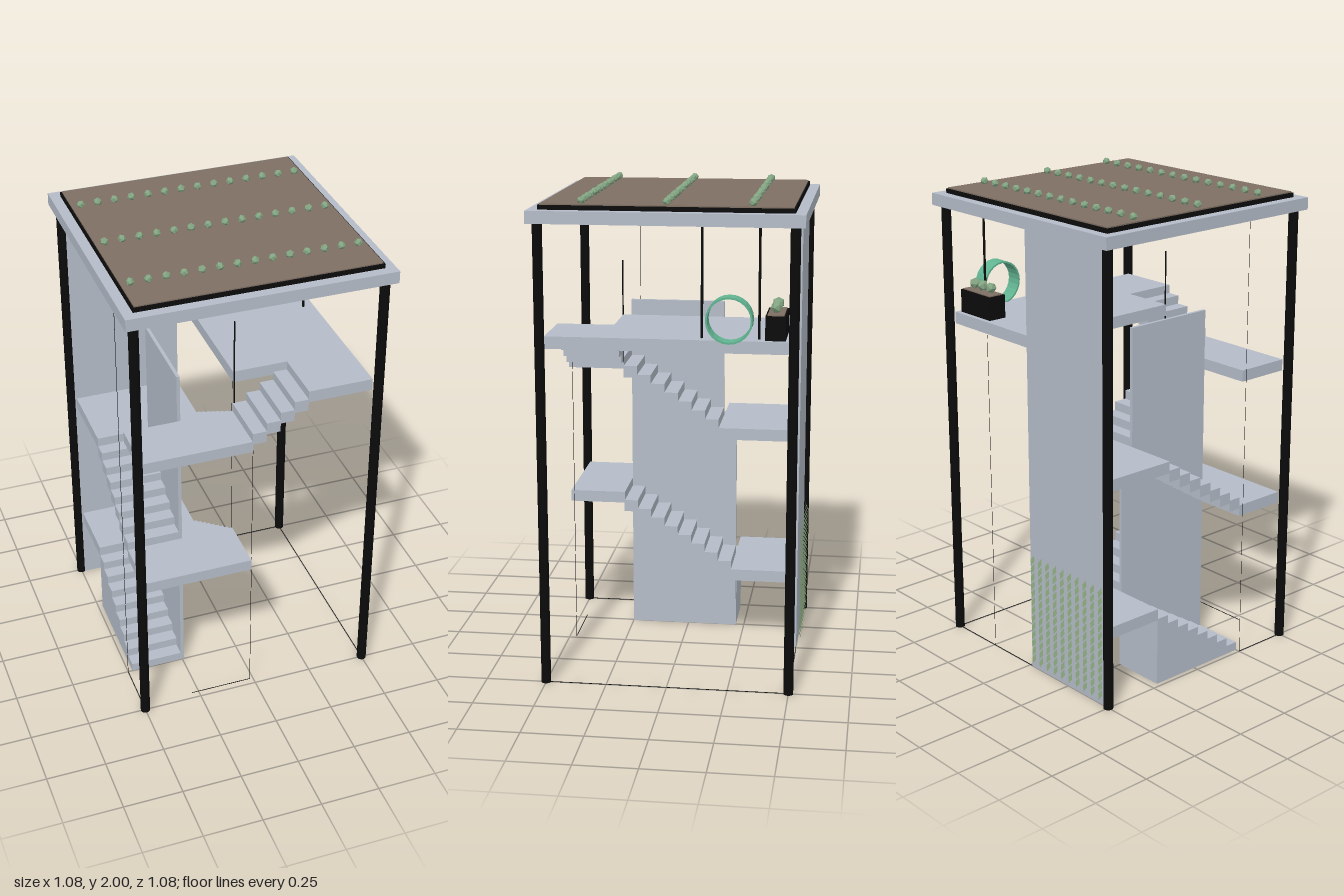
import * as THREE from 'three';

const mat = (name, color, extra = {}) => new THREE.MeshStandardMaterial({ name, color, ...extra });

export function createModel() {
  const root = new THREE.Group();
  root.name = 'stairTower';
  const concrete = mat('concrete', 0xb4bcc8);
  const black = mat('blackSteel', 0x0b0b0c);
  const soil = mat('soil', 0x7e6f62);
  const plantGreen = mat('plantGreen', 0x83a583);
  const mint = mat('mintGreen', 0x62b592);
  const leafGreen = mat('leafGreen', 0x84a078, { side: THREE.DoubleSide });

  const add = (name, geo, material, parent = root) => {
    const m = new THREE.Mesh(geo, material);
    m.name = name;
    parent.add(m);
    return m;
  };
  // Box given by its extents
  const box = (name, material, x0, x1, y0, y1, z0, z1, parent = root) => {
    const m = add(name, new THREE.BoxGeometry(x1 - x0, y1 - y0, z1 - z0), material, parent);
    m.position.set((x0 + x1) / 2, (y0 + y1) / 2, (z0 + z1) / 2);
    return m;
  };
  const rod = (name, x, y0, y1, z, r, sides = 16) => {
    const m = add(name, new THREE.CylinderGeometry(r, r, y1 - y0, sides), black);
    m.position.set(x, (y0 + y1) / 2, z);
  };
  const plant = (name, x, y, z, r, turn) => {
    const m = add(name, new THREE.IcosahedronGeometry(r, 0), plantGreen);
    m.position.set(x, y, z);
    m.rotation.y = turn;
  };

  // Corner columns
  for (const x of [-0.5, 0.5]) for (const z of [-0.5, 0.5]) rod('column', x, 0, 1.9, z, 0.02);

  // Roof slab with planting bed
  box('roofSlab', concrete, -0.54, 0.54, 1.9, 1.95, -0.54, 0.54);
  box('roofBedFrame', black, -0.498, 0.498, 1.95, 1.968, -0.498, 0.498);
  box('roofSoil', soil, -0.492, 0.492, 1.968, 1.973, -0.492, 0.492);
  [-0.333, 0, 0.333].forEach((z, j) => {
    for (let i = 0; i < 14; i++) plant('roofPlant', -0.457 + i * 0.0703, 1.984, z, 0.017, i * 1.3 + j);
  });

  // Back wall and central stair wall
  box('backWall', concrete, -0.495, -0.013, 0, 1.9, -0.5, -0.485);
  box('stairWallLower', concrete, -0.257, -0.243, 0, 0.92, -0.212, 0.25);
  box('stairWallUpper', concrete, -0.257, -0.243, 0.92, 1.475, -0.155, 0.25);

  // Landings
  for (const top of [0.672, 1.265]) box('frontLanding', concrete, -0.48, -0.02, top - 0.048, top, 0.25, 0.485);
  box('backLandingLower', concrete, -0.48, -0.02, 0.29, 0.34, -0.485, -0.212);
  box('backLandingUpper', concrete, -0.48, -0.02, 0.92, 0.97, -0.485, -0.155);

  // Stair flights: treads stepping up along z or x
  const rise = 0.037, run = 0.058;
  const flightZ = (name, x0, x1, yStart, zStart, dir, count, solid = false) => {
    const g = new THREE.Group();
    g.name = name;
    root.add(g);
    for (let i = 0; i < count; i++) {
      const a = zStart + dir * run * i, b = a + dir * run;
      const top = yStart + rise * (i + 1);
      box('step', concrete, x0, x1, solid ? 0 : top - 0.05, top, Math.min(a, b), Math.max(a, b), g);
    }
  };
  flightZ('groundFlight', -0.48, -0.257, 0, 0.25, -1, 8, true);
  flightZ('secondFlight', -0.243, -0.02, 0.34, -0.212, 1, 8);
  flightZ('thirdFlight', -0.48, -0.257, 0.672, 0.25, -1, 7);
  flightZ('fourthFlight', -0.243, -0.02, 0.97, -0.155, 1, 7);
  const topFlight = new THREE.Group();
  topFlight.name = 'topFlight';
  root.add(topFlight);
  for (let i = 0; i < 4; i++) {
    const x = -0.022 + i * run, top = 1.265 + rise * (i + 1);
    box('step', concrete, x, x + run, top - 0.05, top, 0.25, 0.485, topFlight);
  }

  // L-shaped upper platform
  const outline = [[-0.02, -0.485], [0.48, -0.485], [0.48, 0.485], [0.21, 0.485], [0.21, 0.25], [-0.02, 0.25]];
  const shape = new THREE.Shape(outline.map(([x, z]) => new THREE.Vector2(x, -z)));
  const slab = new THREE.ExtrudeGeometry(shape, { depth: 0.05, bevelEnabled: false }).rotateX(-Math.PI / 2);
  add('upperPlatform', slab, concrete).position.y = 1.4;

  // Planter box with three plants
  box('planterBox', black, 0.27, 0.463, 1.45, 1.547, -0.465, -0.385);
  box('planterSoil', soil, 0.277, 0.456, 1.547, 1.551, -0.458, -0.392);
  [0.31, 0.364, 0.416].forEach((x, i) => plant('planterPlant', x, 1.575, -0.425, 0.024, i * 1.1));

  // Hanging rods beside a round hoop
  for (const z of [-0.135, -0.36]) rod('hangingRod', 0.435, 1.45, 1.9, z, 0.005, 8);
  const section = [[0.085, -0.033], [0.0925, -0.033], [0.0925, 0.033], [0.085, 0.033], [0.085, -0.033]];
  const hoopGeo = new THREE.LatheGeometry(section.map(([r, h]) => new THREE.Vector2(r, h)), 24).toNonIndexed();
  hoopGeo.computeVertexNormals();
  const hoop = add('hoop', hoopGeo, mint);
  hoop.rotation.z = Math.PI / 2;
  hoop.position.set(0.493, 1.537, -0.249);

  // Slender supports and glazing edges
  rod('handrailPost', -0.015, 1.25, 1.68, 0.25, 0.003, 6);
  const wire = 0.001;
  for (const [x, z, top] of [[-0.015, 0.47, 1.25], [0.25, -0.495, 1.4], [-0.5, 0.25, 1.9]]) rod('glazingPost', x, 0, top, z, wire, 4);
  const sill = (x0, x1, z0, z1) => box('glazingSill', black, x0 - wire, x1 + wire, 0, 0.002, z0 - wire, z1 + wire);
  sill(0.5, 0.5, -0.5, 0.5);
  sill(-0.01, 0.5, -0.5, -0.5);
  sill(-0.5, -0.5, 0.25, 0.5);
  sill(-0.28, -0.015, 0.47, 0.47);

  // Climbing leaves on the back wall: tilted diamonds
  const leafShape = new THREE.Shape([[0, -0.022], [0.013, 0], [0, 0.022], [-0.013, 0]].map(([x, y]) => new THREE.Vector2(x, y)));
  const leafGeo = new THREE.ShapeGeometry(leafShape).rotateX(0.4);
  const leaves = new THREE.Group();
  leaves.name = 'climbingLeaves';
  root.add(leaves);
  for (let row = 0; row < 13; row++) {
    for (let col = 0; col < 10; col++) {
      add('leaf', leafGeo, leafGreen, leaves).position.set(-0.465 + col * 0.047, 0.05 + row * 0.0375, -0.513);
    }
  }
  return root;
}
